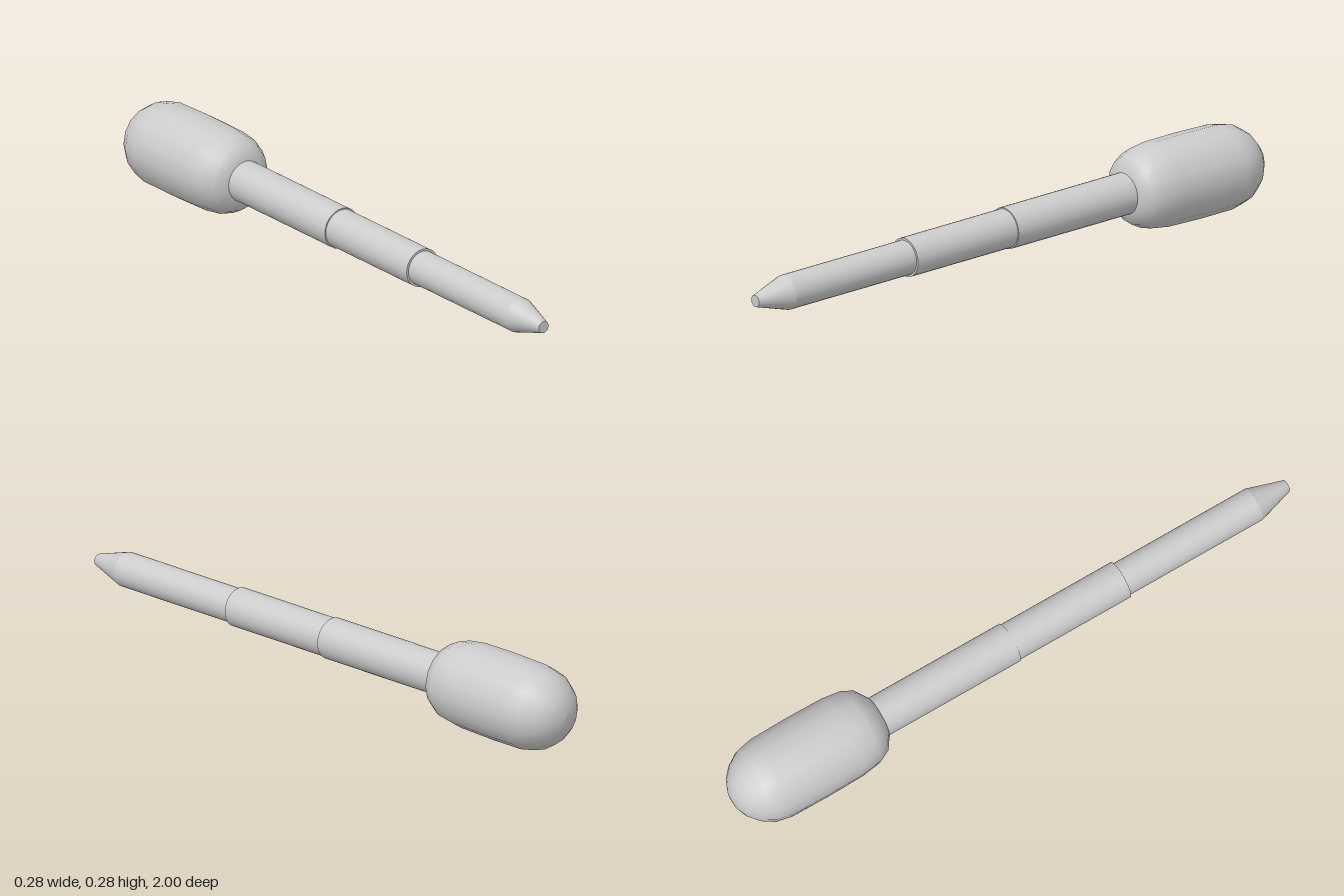
import * as THREE from 'three';

const material = new THREE.MeshStandardMaterial({ color: 0xcccccc });

// Round segment along z, from its back end to its front end
function segment(name, backZ, frontZ, backRadius, frontRadius) {
  const geometry = new THREE.CylinderGeometry(frontRadius, backRadius, frontZ - backZ, 28);
  geometry.rotateX(Math.PI / 2);
  geometry.translate(0, 0, (backZ + frontZ) / 2);
  const mesh = new THREE.Mesh(geometry, material);
  mesh.name = name;
  return mesh;
}

export function createModel() {
  const model = new THREE.Group();
  model.name = 'handTool';

  // Stepped shaft, dipping slightly towards the tip
  const shaft = new THREE.Group();
  shaft.name = 'shaft';
  shaft.add(
    segment('tip', 0.88, 1, 0.055, 0.019),
    segment('frontShaft', 0.39, 0.88, 0.055, 0.055),
    segment('middleShaft', -0.01, 0.4, 0.062, 0.062),
    segment('rearShaft', -0.52, 0, 0.066, 0.066),
  );
  shaft.position.y = 0.121;
  shaft.rotation.x = 0.029;
  model.add(shaft);

  // Rounded grip: blunt at the front, domed at the back
  const profile = [
    [0, -0.265], [0.035, -0.262], [0.068, -0.247], [0.1, -0.218], [0.125, -0.178],
    [0.136, -0.125], [0.138, 0], [0.136, 0.13], [0.127, 0.195], [0.108, 0.232],
    [0.07, 0.259], [0, 0.264],
  ].map(([r, z]) => new THREE.Vector2(r, z));
  const gripGeometry = new THREE.LatheGeometry(profile, 16);
  gripGeometry.rotateX(Math.PI / 2);
  gripGeometry.rotateZ(0.03);
  const grip = new THREE.Mesh(gripGeometry, material);
  grip.name = 'grip';
  grip.position.set(0, 0.14, -0.735);
  grip.rotation.x = 0.012;
  model.add(grip);

  return model;
}
